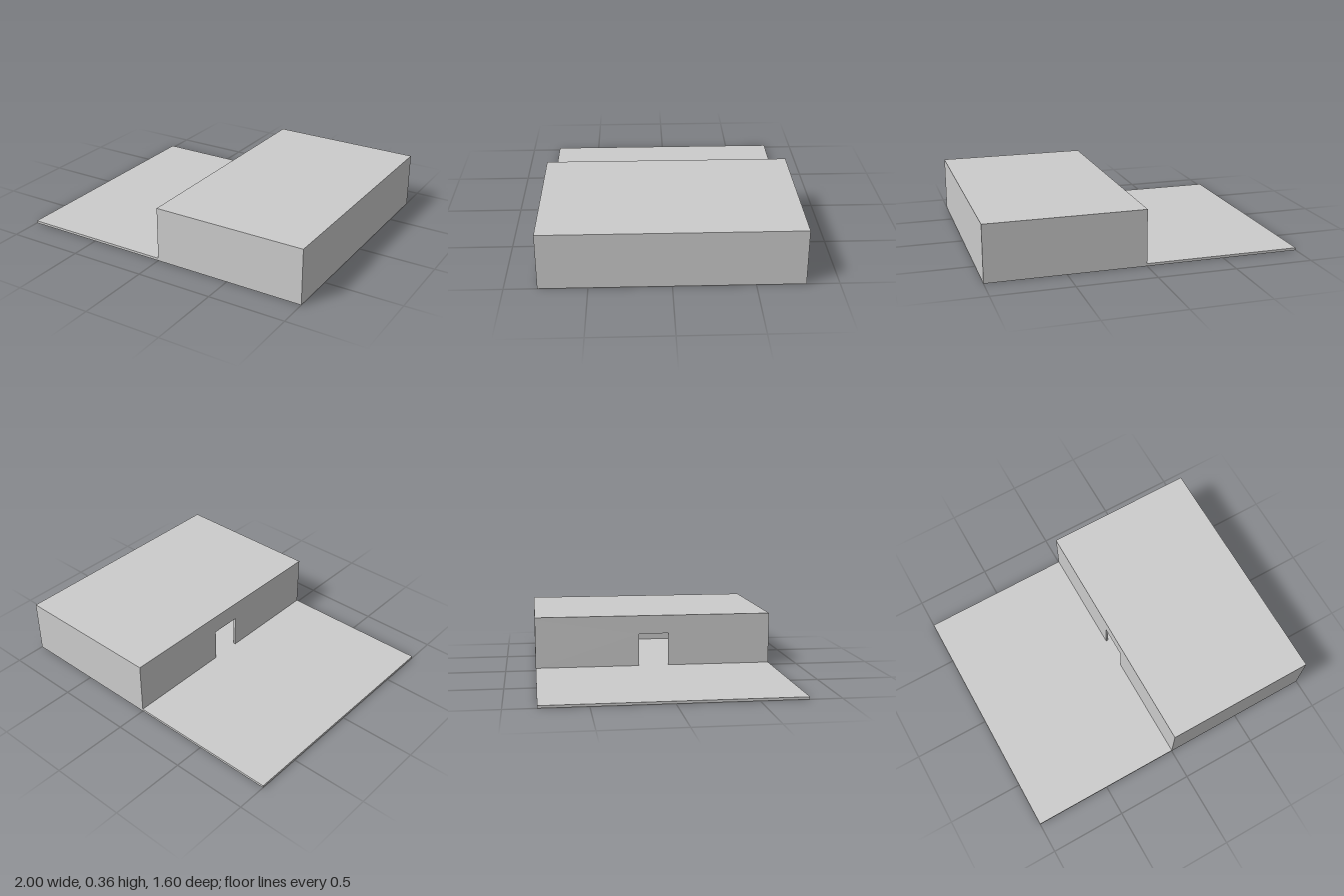
import * as THREE from 'three';

const T = 0.016;          // slab, wall and roof thickness
const H = 0.36;           // overall height
const W = 2, D = 1.6;     // plot width and depth
const DOOR_W = 0.2, DOOR_H = 0.22;

export function createModel() {
  const model = new THREE.Group();
  model.name = 'house';
  const material = new THREE.MeshStandardMaterial({ color: 0xcccccc, flatShading: true });

  const add = (name, geometry, x, y, z) => {
    const mesh = new THREE.Mesh(geometry, material);
    mesh.name = name;
    mesh.position.set(x, y, z);
    model.add(mesh);
    return mesh;
  };
  const box = (name, w, h, d, x, y, z) => add(name, new THREE.BoxGeometry(w, h, d), x, y, z);

  // Ground slab: terrace on one half, room floor on the other
  box('floorSlab', W, T, D, 0, T / 2, 0);

  // Hollow room with a flat roof
  const wallH = H - 2 * T, wallY = H / 2;
  box('roof', W / 2, T, D, W / 4, H - T / 2, 0);
  box('outerWall', T, wallH, D - 2 * T, W / 2 - T / 2, wallY, 0);
  for (const [name, side] of [['frontWall', 1], ['backWall', -1]]) {
    box(name, W / 2, wallH, T, W / 4, wallY, side * (D - T) / 2);
  }

  // Terrace wall, outlined around the doorway and extruded to its thickness
  const e = D / 2 - T, d = DOOR_W / 2;
  const outline = new THREE.Shape([
    [-e, 0], [-d, 0], [-d, DOOR_H], [d, DOOR_H], [d, 0], [e, 0], [e, wallH], [-e, wallH],
  ].map(([x, y]) => new THREE.Vector2(x, y)));
  const doorWall = new THREE.ExtrudeGeometry(outline, { depth: T, bevelEnabled: false });
  doorWall.rotateY(Math.PI / 2);
  add('doorWall', doorWall, 0, T, 0);

  return model;
}
